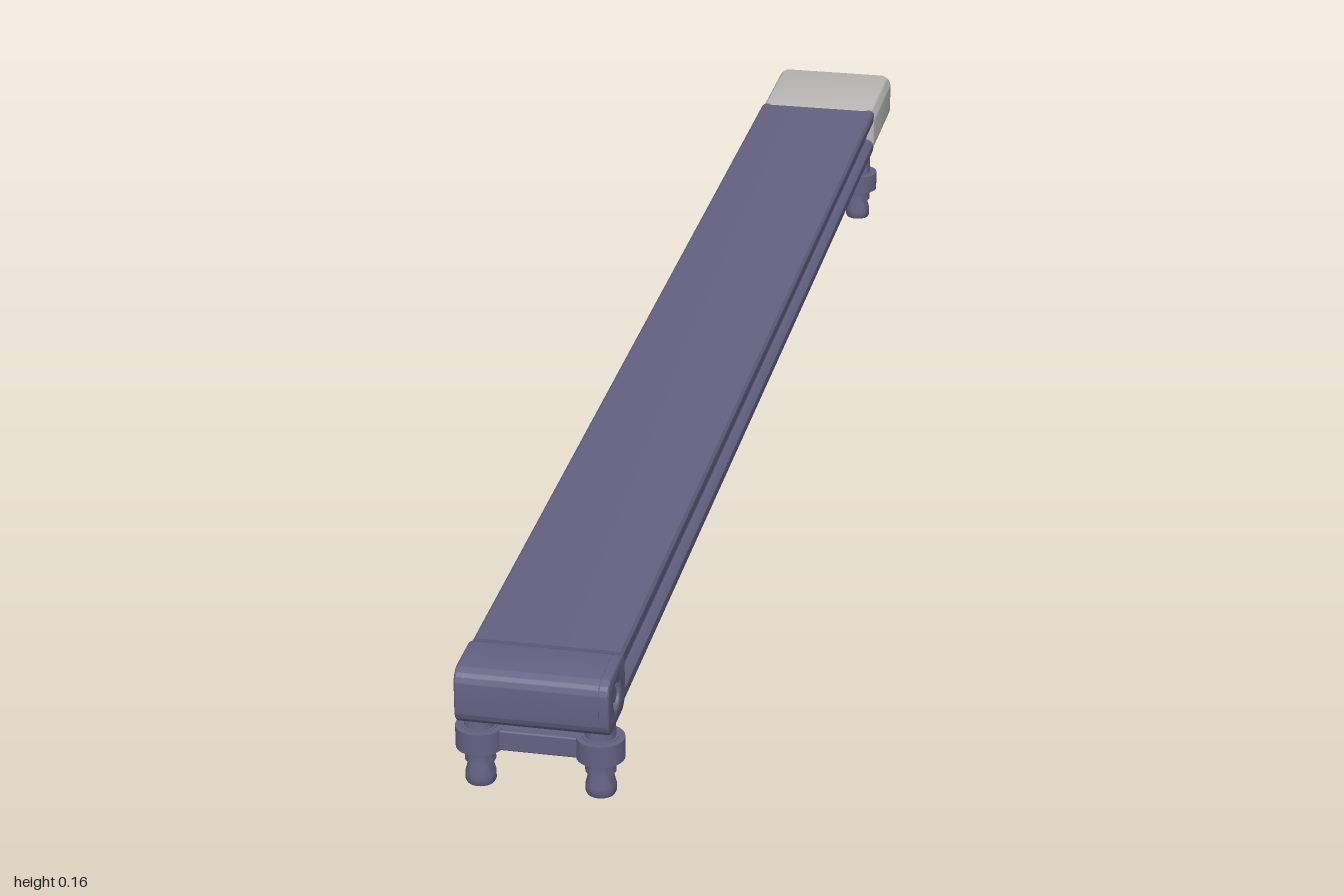
import * as THREE from 'three';
import { toCreasedNormals } from 'three/addons/utils/BufferGeometryUtils.js';
import { RoundedBoxGeometry } from 'three/addons/geometries/RoundedBoxGeometry.js';

const CX = -0.001, CY = 0.1225; // centre line of the bar
const LEG_Z = [0.96, -0.805];

// Rounded rectangle outline centred on the origin
function roundedRect(w, h, r, Type = THREE.Shape) {
  const s = new Type(), x = w / 2, y = h / 2;
  s.moveTo(-x + r, -y);
  s.lineTo(x - r, -y).absarc(x - r, -y + r, r, -Math.PI / 2, 0);
  s.lineTo(x, y - r).absarc(x - r, y - r, r, 0, Math.PI / 2);
  s.lineTo(-x + r, y).absarc(-x + r, y - r, r, Math.PI / 2, Math.PI);
  s.lineTo(-x, -y + r).absarc(-x + r, -y + r, r, Math.PI, Math.PI * 1.5);
  return s;
}

// Extrusion along z, centred, with an optional bevel inside the given depth
function extrude(shape, depth, bevel = 0) {
  const g = new THREE.ExtrudeGeometry(shape, {
    depth: depth - 2 * bevel, curveSegments: 8, bevelEnabled: bevel > 0,
    bevelSize: bevel, bevelOffset: -bevel, bevelThickness: bevel, bevelSegments: 3,
  });
  g.translate(0, 0, -depth / 2 + bevel);
  return toCreasedNormals(g, 0.6);
}

export function createModel() {
  const model = new THREE.Group();
  model.name = 'barLight';
  const slate = new THREE.MeshStandardMaterial({ color: 0x646182 });
  slate.name = 'slate';
  const grey = new THREE.MeshStandardMaterial({ color: 0xbab9b6 });
  grey.name = 'lightGrey';

  function add(name, geometry, material, x, y, z, parent = model) {
    const m = new THREE.Mesh(geometry, material);
    m.name = name;
    m.position.set(x, y, z);
    parent.add(m);
    return m;
  }

  // Long bar with a rounded groove down each side
  const right = [
    [0.079, -0.034], [0.085, -0.031], [0.086, -0.025], [0.086, -0.017], [0.083, -0.013],
    [0.076, -0.010], [0.074, -0.005], [0.074, 0.006], [0.077, 0.010],
    [0.084, 0.014], [0.086, 0.018], [0.086, 0.029], [0.083, 0.033], [0.079, 0.034],
  ];
  const left = right.map(([x, y]) => [-x, y]).reverse();
  const section = new THREE.Shape([...right, ...left].map(([x, y]) => new THREE.Vector2(x, y)));
  add('bar', extrude(section, 1.76), slate, CX, CY, 0.04);

  // Front end cap: rounded core with a pierced cheek and pin on each side
  const cap = new THREE.Group();
  cap.name = 'frontCap';
  cap.position.set(CX, CY, 0.957);
  model.add(cap);
  const core = add('capCore', extrude(roundedRect(0.086, 0.069, 0.018), 0.152), slate, 0, 0, 0, cap);
  core.rotation.y = Math.PI / 2;
  const cheekShape = roundedRect(0.086, 0.069, 0.018);
  const hole = new THREE.Path();
  hole.absarc(0, 0, 0.017, 0, Math.PI * 2, true);
  cheekShape.holes.push(hole);
  const cheekGeo = extrude(cheekShape, 0.013, 0.003);
  const pinGeo = new THREE.CylinderGeometry(0.009, 0.009, 0.012, 20);
  for (const s of [-1, 1]) {
    add('capCheek', cheekGeo, slate, s * 0.081, 0, 0, cap).rotation.y = s * Math.PI / 2;
    add('capPin', pinGeo, slate, s * 0.079, 0, 0, cap).rotation.z = Math.PI / 2;
  }

  // Rear connector: hollow shell, solid inner block and two contact pins
  const shell = roundedRect(0.174, 0.069, 0.016);
  shell.holes.push(roundedRect(0.128, 0.036, 0.008, THREE.Path));
  add('connectorShell', extrude(shell, 0.166, 0.004), grey, CX, CY, -0.917);
  add('connectorCore', new THREE.BoxGeometry(0.13, 0.038, 0.13), grey, CX, CY, -0.903);
  const stem = new THREE.CylinderGeometry(0.011, 0.011, 0.022, 20);
  const tip = new THREE.SphereGeometry(0.011, 20, 10);
  for (const s of [-1, 1]) {
    add('contactPin', stem, grey, CX + s * 0.04, CY, -0.976).rotation.x = Math.PI / 2;
    add('contactTip', tip, grey, CX + s * 0.04, CY, -0.987);
  }

  // Feet: turned posts with a collar, joined in pairs by a cross bar
  const profile = [
    [0, 0], [0.016, 0], [0.0175, 0.003], [0.0175, 0.012], [0.0135, 0.027], [0.0175, 0.028],
    [0.0175, 0.044], [0.020, 0.044], [0.0205, 0.046], [0.0205, 0.070], [0.020, 0.072],
    [0.0175, 0.072], [0.0175, 0.095], [0, 0.095],
  ].map(([r, y]) => new THREE.Vector2(r, y));
  const footGeo = toCreasedNormals(new THREE.LatheGeometry(profile, 28).toNonIndexed(), 0.6);
  const collarGeo = new THREE.CylinderGeometry(0.0275, 0.0275, 0.026, 28);
  for (const z of LEG_Z) {
    const pair = new THREE.Group();
    pair.name = z > 0 ? 'frontFeet' : 'rearFeet';
    pair.position.set(CX, 0, z);
    model.add(pair);
    for (const s of [-1, 1]) {
      add('foot', footGeo, slate, s * 0.069, 0, 0, pair);
      add('collar', collarGeo, slate, s * 0.069, 0.058, 0, pair);
    }
    add('crossBar', new RoundedBoxGeometry(0.12, 0.025, 0.022, 2, 0.002), slate, 0, 0.058, 0, pair);
  }
  return model;
}
